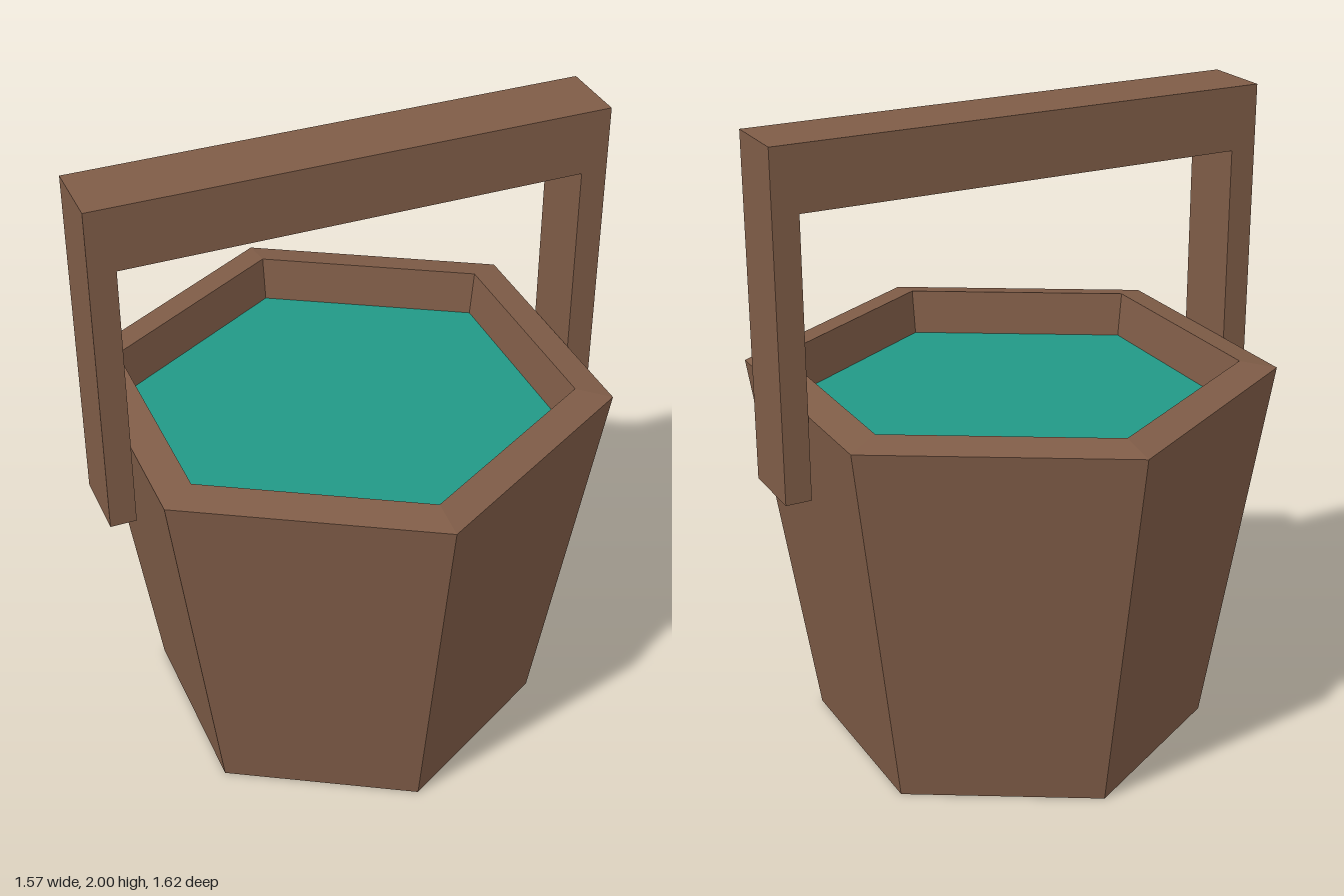
import * as THREE from 'three';

const SIDES = 6;

// Separate the faces so each side shades flat
function faceted(geometry) {
  const flat = geometry.toNonIndexed();
  flat.computeVertexNormals();
  return flat;
}

// Horizontal hexagon with a corner pointing to the front, facing up or down
function hexagon(radius, y, up) {
  return new THREE.CircleGeometry(radius, SIDES, Math.PI / 2)
    .rotateX(up ? -Math.PI / 2 : Math.PI / 2)
    .translate(0, y, 0);
}

export function createModel() {
  const model = new THREE.Group();
  model.name = 'bucket';

  const wood = new THREE.MeshStandardMaterial({ color: 0x7f5c47 });
  wood.name = 'brown wood';
  const teal = new THREE.MeshStandardMaterial({ color: 0x229886 });
  teal.name = 'teal water';

  const add = (name, geometry, material) => {
    const mesh = new THREE.Mesh(geometry, material);
    mesh.name = name;
    model.add(mesh);
  };

  // Tapered wall: outside, sloping rim, then inside down to the water
  const profile = [[0.618, 0], [0.811, 1.2], [0.697, 1.22], [0.677, 1.08]]
    .map(([r, y]) => new THREE.Vector2(r, y));
  add('wall', faceted(new THREE.LatheGeometry(profile, SIDES)), wood);
  add('base', hexagon(0.618, 0, false), wood);
  add('water', hexagon(0.679, 1.08, true), teal);

  // Square arch handle: one outline extruded front to back
  const arch = new THREE.Shape([
    [-0.786, 0.94], [-0.705, 0.94], [-0.705, 1.803], [0.705, 1.803],
    [0.705, 0.94], [0.786, 0.94], [0.786, 2], [-0.786, 2],
  ].map(([x, y]) => new THREE.Vector2(x, y)));
  const depth = 0.219;
  const handle = new THREE.ExtrudeGeometry(arch, { depth, bevelEnabled: false });
  add('handle', handle.translate(0, 0, -depth / 2), wood);

  return model;
}
